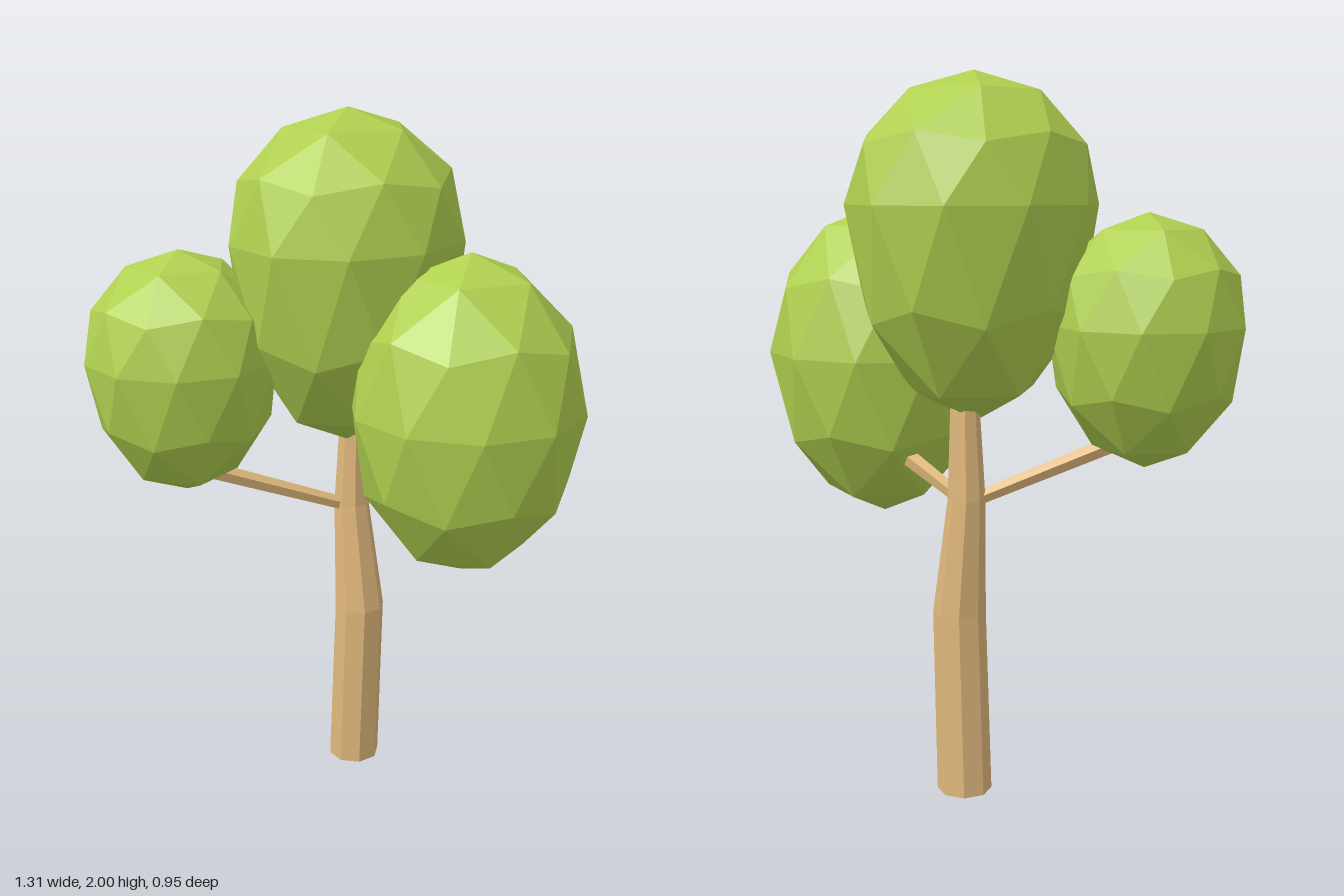
import * as THREE from 'three';

const leafMaterial = new THREE.MeshStandardMaterial({ color: 0xb0d050, flatShading: true });
const woodMaterial = new THREE.MeshStandardMaterial({ color: 0xe0b87c, flatShading: true });

// Faceted ball with a pole on top; the halves above and below the widest ring differ in height
function crown(name, [x, y, z], rx, rz, up, down) {
  const geometry = new THREE.IcosahedronGeometry(1, 1);
  geometry.rotateZ(-Math.atan(2 / (1 + Math.sqrt(5))));
  const p = geometry.attributes.position;
  for (let i = 0; i < p.count; i++) {
    const h = p.getY(i);
    p.setXYZ(i, p.getX(i) * rx, h * (h > 0 ? up : down), p.getZ(i) * rz);
  }
  geometry.computeVertexNormals();
  const mesh = new THREE.Mesh(geometry, leafMaterial);
  mesh.name = name;
  mesh.position.set(x, y, z);
  return mesh;
}

// Eight-sided trunk that bends through level rings, each given as [x, y, z, radius]
function trunk(rings) {
  const spans = rings.length - 1;
  const geometry = new THREE.CylinderGeometry(1, 1, 1, 8, spans);
  const p = geometry.attributes.position;
  for (let i = 0; i < p.count; i++) {
    const [x, y, z, r] = rings[Math.round((p.getY(i) + 0.5) * spans)];
    p.setXYZ(i, x + p.getX(i) * r, y, z + p.getZ(i) * r);
  }
  geometry.computeVertexNormals();
  const mesh = new THREE.Mesh(geometry, woodMaterial);
  mesh.name = 'trunk';
  return mesh;
}

// Straight branch between two points
function branch(name, from, to, r0, r1) {
  const a = new THREE.Vector3(...from);
  const b = new THREE.Vector3(...to);
  const direction = b.clone().sub(a);
  const mesh = new THREE.Mesh(new THREE.CylinderGeometry(r1, r0, direction.length(), 5), woodMaterial);
  mesh.name = name;
  mesh.position.copy(a).add(b).multiplyScalar(0.5);
  mesh.quaternion.setFromUnitVectors(new THREE.Vector3(0, 1, 0), direction.normalize());
  return mesh;
}

export function createModel() {
  const tree = new THREE.Group();
  tree.name = 'tree';
  tree.add(
    trunk([
      [-0.048, 0, -0.16, 0.077],
      [-0.03, 0.52, -0.16, 0.074],
      [-0.06, 0.85, -0.16, 0.052],
      [-0.053, 1.2, -0.16, 0.036],
    ]),
    branch('rightBranch', [-0.07, 0.845, -0.14], [-0.32, 1.0, 0.18], 0.02, 0.025),
    branch('leftBranch', [-0.05, 0.85, -0.17], [0.13, 0.945, -0.2], 0.02, 0.025),
    crown('topCrown', [-0.05, 1.65, -0.12], 0.326, 0.36, 0.35, 0.59),
    crown('leftCrown', [0.342, 1.225, -0.11], 0.327, 0.327, 0.425, 0.48),
    crown('rightCrown', [-0.395, 1.33, 0.197], 0.275, 0.275, 0.3, 0.395),
  );
  return tree;
}
